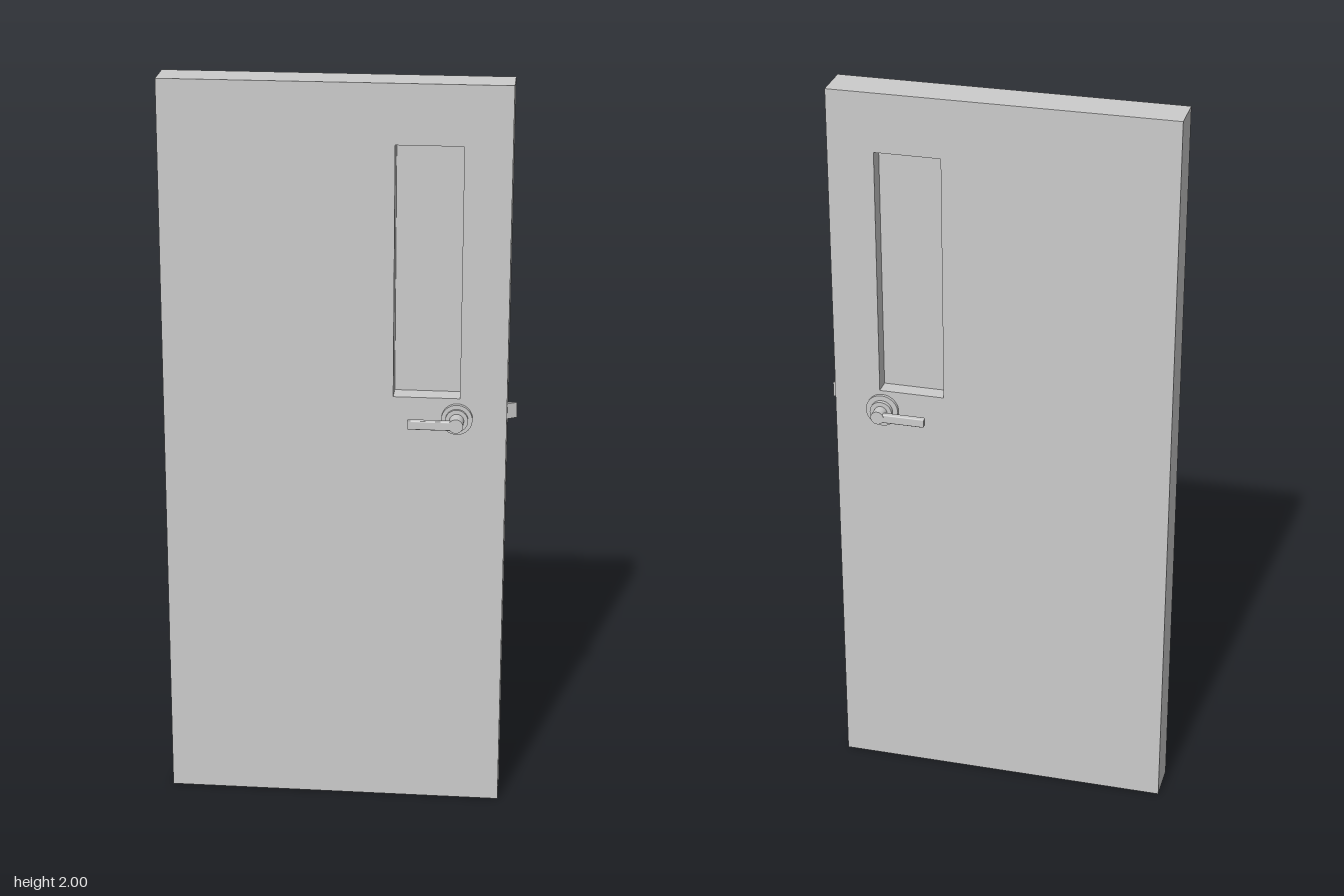
import * as THREE from 'three';
import { RoundedBoxGeometry } from 'three/addons/geometries/RoundedBoxGeometry.js';

const material = new THREE.MeshStandardMaterial({ color: 0xcccccc });
const BACK = -0.06, FRONT = 0.047;
const HANDLE_X = 0.31, HANDLE_Y = 1.115;

function addMesh(parent, name, geometry, x = 0, y = 0, z = 0) {
  const mesh = new THREE.Mesh(geometry, material);
  mesh.name = name;
  mesh.position.set(x, y, z);
  parent.add(mesh);
  return mesh;
}

function polygon(points, Type = THREE.Shape) {
  return new Type(points.map(([x, y]) => new THREE.Vector2(x, y)));
}

// Handle on a face of the door; side is +1 (front) or -1 (back).
// Distances are measured outward from the door face.
function createHandle(name, side, face, { plateR, plateD, collarR, collarD, neckR, reach, leverD }) {
  const handle = new THREE.Group();
  handle.name = name;
  handle.position.set(HANDLE_X, HANDLE_Y, face);

  const disc = (part, radius, from, to) => {
    const geometry = new THREE.CylinderGeometry(radius, radius, to - from, 40);
    geometry.rotateX(Math.PI / 2);
    addMesh(handle, part, geometry, 0, 0, side * (from + to) / 2);
  };
  disc('rosettePlate', plateR, 0, plateD);
  disc('rosetteCollar', collarR, plateD, collarD);
  disc('neck', neckR, collarD, reach);

  // Lever bar pointing towards the hinge side
  const lever = new RoundedBoxGeometry(0.122, 0.024, leverD, 3, 0.003);
  addMesh(handle, 'lever', lever, -0.066, -0.001, side * (reach - leverD / 2 - 0.0005));
  return handle;
}

export function createModel() {
  const door = new THREE.Group();
  door.name = 'door';

  // Door slab with the window opening cut through
  const slab = polygon([[-0.467, 0], [0.44, 0], [0.44, 2], [-0.467, 2]]);
  slab.holes.push(polygon([[0.142, 1.17], [0.142, 1.842], [0.317, 1.842], [0.317, 1.17]], THREE.Path));
  const slabGeometry = new THREE.ExtrudeGeometry(slab, { depth: FRONT - BACK, bevelEnabled: false });
  addMesh(door, 'slab', slabGeometry, 0, 0, BACK);

  // Thin pane set inside the opening
  addMesh(door, 'windowPane', new THREE.BoxGeometry(0.175, 0.672, 0.006), 0.2295, 1.506, -0.013);

  // Latch bolt: a wedge, flat at the back and sloped at the front
  const wedge = polygon([[0.44, -0.012], [0.465, 0.003], [0.44, 0.003]]);
  const latchGeometry = new THREE.ExtrudeGeometry(wedge, { depth: 0.042, bevelEnabled: false });
  latchGeometry.rotateX(-Math.PI / 2);
  addMesh(door, 'latchBolt', latchGeometry, 0, 1.106, 0);

  // Lever handles on both faces
  door.add(createHandle('frontHandle', 1, FRONT, {
    plateR: 0.041, plateD: 0.012, collarR: 0.03, collarD: 0.02, neckR: 0.019, reach: 0.063, leverD: 0.017,
  }));
  door.add(createHandle('backHandle', -1, BACK, {
    plateR: 0.044, plateD: 0.009, collarR: 0.03, collarD: 0.02, neckR: 0.018, reach: 0.053, leverD: 0.016,
  }));

  return door;
}
